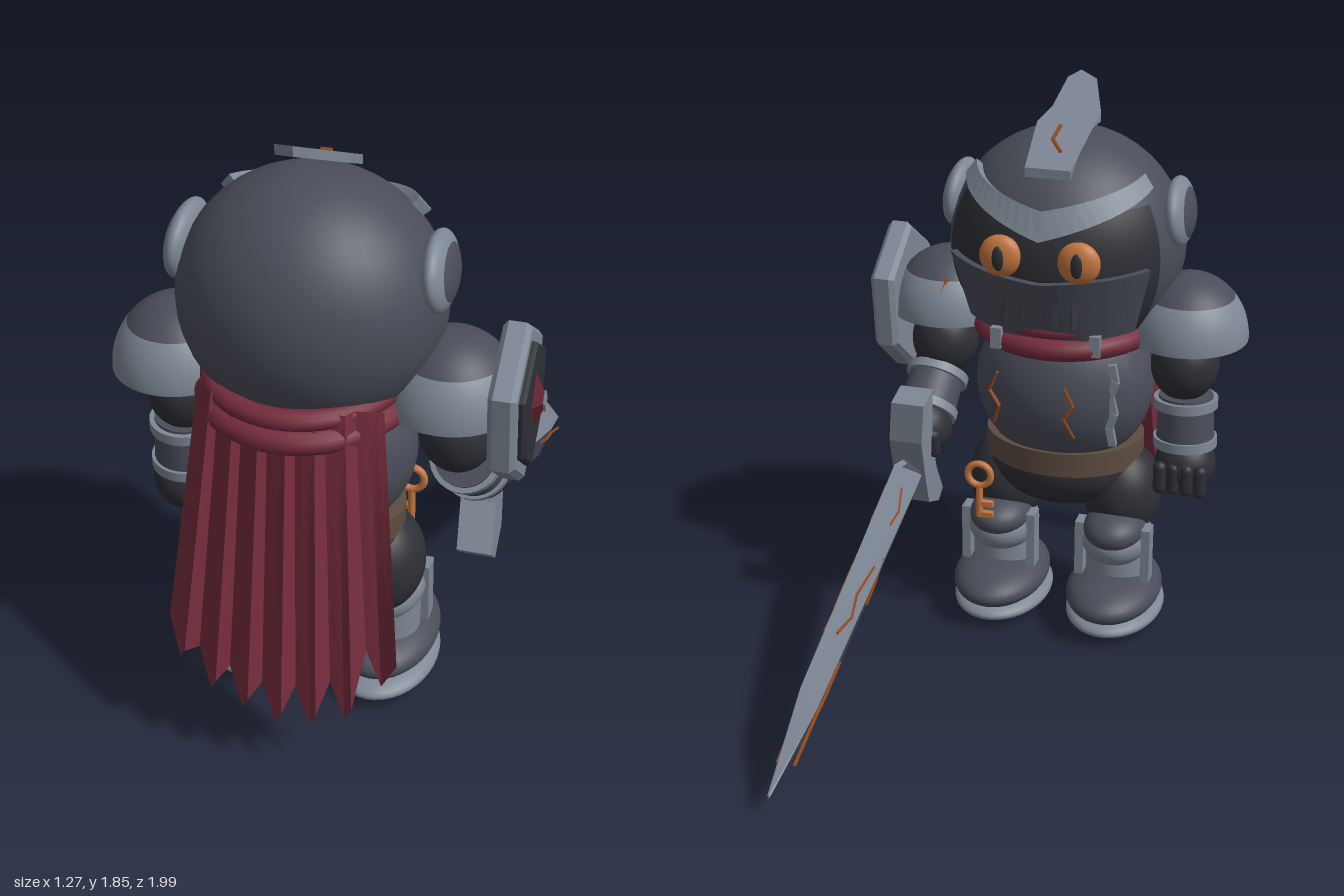
import * as THREE from 'three';

const mat = (name, color) => {
  const m = new THREE.MeshStandardMaterial({ color, side: THREE.DoubleSide });
  m.name = name;
  return m;
};
const V = (x, y, z) => new THREE.Vector3(x, y, z);

export function createModel() {
  const steel = mat('dark steel', 0x4a4d59), black = mat('black', 0x2e2f35), silver = mat('silver', 0x7d8794);
  const red = mat('cloth red', 0x752c3c), wine = mat('gem red', 0x64202f), orange = mat('eye orange', 0xc4763f);
  const rust = mat('crack orange', 0x9c4d1c), brown = mat('leather', 0x5d4c40);
  const root = new THREE.Group();

  const add = (name, geo, m, x = 0, y = 0, z = 0) => {
    const mesh = new THREE.Mesh(geo, m);
    mesh.name = name;
    mesh.position.set(x, y, z);
    root.add(mesh);
    return mesh;
  };
  const ball = (name, m, p, r, ...range) => {
    const geo = new THREE.SphereGeometry(1, 40, 24, ...range);
    geo.scale(...r);
    return add(name, geo, m, ...p);
  };
  const rod = (name, m, a, b, r0, r1 = r0, sides = 28) => {
    const d = b.clone().sub(a);
    const mesh = add(name, new THREE.CylinderGeometry(r1, r0, d.length(), sides), m);
    mesh.position.copy(a).addScaledVector(d, 0.5);
    mesh.quaternion.setFromUnitVectors(V(0, 1, 0), d.normalize());
    return mesh;
  };
  const capsule = (name, m, a, b, r) => {
    const d = b.clone().sub(a);
    const mesh = add(name, new THREE.CapsuleGeometry(r, d.length(), 6, 12), m);
    mesh.position.copy(a).addScaledVector(d, 0.5);
    mesh.quaternion.setFromUnitVectors(V(0, 1, 0), d.normalize());
  };
  // Flat-sided skin through rings of points
  const loft = (rings) => {
    const pos = [], n = rings[0].length;
    const tri = (...ps) => ps.forEach((p) => pos.push(p.x, p.y, p.z));
    for (let i = 0; i < rings.length - 1; i++) for (let j = 0; j < n; j++) {
      const k = (j + 1) % n, [a, b] = [rings[i], rings[i + 1]];
      tri(a[j], b[j], b[k]);
      tri(a[j], b[k], a[k]);
    }
    for (const r of [rings[0].slice().reverse(), rings.at(-1)])
      for (let j = 1; j < n - 1; j++) tri(r[0], r[j], r[j + 1]);
    const g = new THREE.BufferGeometry();
    g.setAttribute('position', new THREE.Float32BufferAttribute(pos, 3));
    g.computeVertexNormals();
    return g;
  };
  // Plate outlined in [z, y], thickened along +x from x0
  const sidePlate = (pts, x0, depth, bevel = 0) => {
    const g = new THREE.ExtrudeGeometry(new THREE.Shape(pts.map(([z, y]) => new THREE.Vector2(-z, y))),
      { depth, bevelEnabled: bevel > 0, bevelSize: bevel, bevelThickness: bevel, bevelOffset: -bevel, bevelSegments: 1 });
    return g.rotateY(Math.PI / 2).translate(x0, 0, 0);
  };
  const crack = (pts, w = 0.006) => {
    for (let i = 0; i < pts.length - 1; i++) rod('crack', rust, pts[i], pts[i + 1], w, w, 4);
  };

  // Head with dark face opening
  const H = V(-0.035, 1.34, 0.475), HR = [0.385, 0.375, 0.352], FRONT = Math.PI * 1.5;
  const onHead = (a, th, r) => V(H.x + HR[0] * r * Math.sin(a) * Math.sin(th), H.y + HR[1] * r * Math.cos(th),
    H.z - HR[2] * r * Math.cos(a) * Math.sin(th));
  const scaled = (k) => HR.map((v) => v * k);
  ball('helmet', steel, H.toArray(), HR);
  ball('faceOpening', black, H.toArray(), scaled(1.006), FRONT - 1.08, 2.16, 1.05, 1.2);
  const headBand = (name, m, half, lo, hi, r0, r1) => {
    const rings = [];
    for (let i = 0; i <= 24; i++) {
      const a = (i / 12 - 1) * half, t = Math.abs(i / 12 - 1);
      rings.push([onHead(a, lo(t), r0), onHead(a, lo(t), r1), onHead(a, hi(t), r1), onHead(a, hi(t), r0)]);
    }
    return add(name, loft(rings), m);
  };
  headBand('brow', silver, 1.15, (t) => 1.3 - 0.36 * t, (t) => 1.06 - 0.25 * t, 0.98, 1.07);
  headBand('visor', steel, 0.92, (t) => 2.25 - 0.1 * t, (t) => 1.64 - 0.08 * t, 0.95, 1.065);
  for (let i = 0; i < 5; i++) {
    const a = (i - 2) * 0.15;
    const slit = add('visorSlit', new THREE.BoxGeometry(0.02, 0.085, 0.008), black);
    slit.position.copy(onHead(a, 1.9, 1.068));
    slit.rotation.set(0.33, -a, 0, 'YXZ');
  }
  for (const x of [0.09, -0.16]) {
    ball('eye', orange, [x, 1.385, 0.135], [0.068, 0.068, 0.035]);
    ball('pupil', black, [x, 1.385, 0.108], [0.022, 0.04, 0.012]);
  }
  for (const s of [1, -1]) {
    const x = H.x + s * 0.363;
    ball('earPlate', silver, [x, 1.465, 0.48], [0.045, 0.11, 0.137]).rotation.z = s * 0.12;
    ball('earBoss', steel, [x + s * 0.012, 1.465, 0.48], [0.038, 0.092, 0.112]).rotation.z = s * 0.12;
  }
  // Slanted crest plate, outlined in [x, z]
  const slope = (z) => 1.625 + (z - 0.22) * 0.48;
  const crestPts = [[-0.11, 0.21], [0.035, 0.21], [0.05, 0.4], [0.02, 0.47], [0.005, 0.6], [-0.03, 0.635], [-0.09, 0.6], [-0.14, 0.46], [-0.105, 0.4]];
  add('crest', loft([0, 0.03].map((h) => crestPts.map(([x, z]) => V(x, slope(z) + h, z)))), silver);
  crack([[-0.06, 0.28], [-0.02, 0.33], [-0.03, 0.39]].map(([x, z]) => V(x, slope(z) + 0.032, z)));

  // Torso, chest plate, belt and hips
  ball('torso', steel, [-0.035, 0.85, 0.46], [0.3, 0.29, 0.25]);
  ball('hips', black, [-0.035, 0.57, 0.48], [0.27, 0.17, 0.22]);
  ball('chestPlate', steel, [-0.035, 0.87, 0.46], [0.31, 0.3, 0.265], FRONT - 0.95, 1.9, 0.85, 1.25);
  const belt = new THREE.CylinderGeometry(1, 1, 0.085, 48);
  belt.scale(0.27, 1, 0.218);
  add('belt', belt, brown, -0.035, 0.622, 0.475);
  crack([V(0.13, 0.95, 0.225), V(0.16, 0.88, 0.235), V(0.12, 0.84, 0.21), V(0.15, 0.76, 0.25)]);
  crack([V(-0.1, 0.93, 0.2), V(-0.13, 0.87, 0.2), V(-0.1, 0.82, 0.2), V(-0.13, 0.75, 0.22)]);
  for (let i = 0; i < 5; i++)
    add('chestTrim', new THREE.BoxGeometry(0.025, 0.06, 0.02), silver, -0.245, 0.97 - i * 0.055, 0.275 - i * 0.003).rotation.z = i % 2 ? 0.3 : -0.2;

  // Hanging key
  add('keyRing', new THREE.TorusGeometry(0.04, 0.012, 8, 24), orange, 0.19, 0.575, 0.21);
  rod('keyShaft', orange, V(0.19, 0.54, 0.21), V(0.19, 0.42, 0.21), 0.012);
  for (const y of [0.43, 0.47]) add('keyTooth', new THREE.BoxGeometry(0.045, 0.018, 0.02), orange, 0.165, y, 0.21);

  // Scarf rolls and knot
  [[1.13, 0.275, 0.03], [1.07, 0.285, 0.038]].forEach(([y, r, t]) => {
    const g = new THREE.TorusGeometry(r, t, 12, 56);
    g.rotateX(Math.PI / 2).scale(1, 1, 1.11);
    add('scarf', g, red, -0.04, y, 0.5);
  });
  for (const x of [-0.2, 0.12]) add('scarfClasp', new THREE.BoxGeometry(0.035, 0.07, 0.025), silver, x, 1.09, x < 0 ? 0.2 : 0.185);

  // Pleated cape with torn hem
  const cape = new THREE.PlaneGeometry(1, 1, 28, 8), cp = cape.attributes.position;
  const tips = [0.33, 0.26, 0.23, 0.2, 0.21, 0.24, 0.36];
  for (let i = 0; i < cp.count; i++) {
    const u = cp.getX(i) + 0.5, v = 0.5 - cp.getY(i), panel = Math.min(6, Math.floor(u * 7 + 1e-6));
    const f = u * 7 - panel, side = (u * 2 - 1) ** 2;
    const hem = tips[panel] + Math.abs(f - 0.5) * 0.2;
    const x = THREE.MathUtils.lerp(-0.3 + 0.54 * u, -0.365 + 0.7 * u, v);
    cp.setXYZ(i, x, 1.15 + (hem - 1.15) * v, 0.8 + 0.16 * v - side * (0.09 - 0.02 * v) + (f - 0.4) * (0.03 + 0.05 * v));
  }
  const capeFlat = cape.toNonIndexed();
  capeFlat.computeVertexNormals();
  add('cape', capeFlat, red);

  // Shoulder domes
  for (const [x, y, r] of [[-0.445, 1.05, 0.195], [0.365, 1.06, 0.2]]) {
    const s = [r, 0.215, 0.2];
    ball('shoulderCap', steel, [x, y, 0.47], s, 0, Math.PI * 2, 0, 0.84);
    ball('shoulderRim', silver, [x, y, 0.47], s, 0, Math.PI * 2, 0.84, Math.PI / 2 - 0.84);
    add('shoulderBase', new THREE.CircleGeometry(r, 40).rotateX(Math.PI / 2), silver, x, y, 0.47);
  }
  crack([V(0.33, 1.21, 0.33), V(0.35, 1.17, 0.305), V(0.34, 1.13, 0.29)]);

  // Arms: upper arm, banded forearm, fist with fingers
  const arm = (shoulder, elbow, wrist, fist, curl) => {
    ball('upperArm', black, shoulder.toArray(), [0.112, 0.125, 0.115]);
    rod('forearm', steel, elbow, wrist, 0.09, 0.097);
    for (const t of [0.05, 0.9]) {
      const p = elbow.clone().lerp(wrist, t), q = elbow.clone().lerp(wrist, t + 0.2);
      rod('forearmBand', silver, p, q, 0.106);
    }
    ball('fist', black, fist.toArray(), [0.102, 0.1, 0.1]);
    for (let i = 0; i < 4; i++) {
      const base = fist.clone().add(V((i - 1.5) * 0.045, 0.01, -0.085));
      capsule('finger', black, base, base.clone().add(curl), 0.022);
    }
  };
  arm(V(-0.44, 0.955, 0.46), V(-0.45, 0.85, 0.45), V(-0.455, 0.69, 0.44), V(-0.46, 0.61, 0.43), V(0, -0.07, 0));
  arm(V(0.385, 0.95, 0.46), V(0.4, 0.84, 0.43), V(0.41, 0.74, 0.32), V(0.41, 0.7, 0.27), V(0, -0.06, 0.01));

  // Shield: rim, panel, gem
  const C = [0.478, 1.08];
  const hex = (k) => [[0, 0.25], [0.19, 0.12], [0.165, -0.115], [0, -0.25], [-0.165, -0.115], [-0.19, 0.12]].map(([z, y]) => [C[0] + z * k, C[1] + y * k]);
  const gem = (w, h) => [[0, h], [w, 0], [0, -h], [-w, 0]].map(([z, y]) => [C[0] + z, 1.1 + y]);
  add('shieldRim', sidePlate(hex(1.04), 0.52, 0.05, 0.015), silver);
  add('shieldPanel', sidePlate(hex(0.82), 0.57, 0.025, 0.008), black);
  add('shieldGem', loft([gem(0.06, 0.105).map(([z, y]) => V(0.595, y, z)), gem(0.012, 0.02).map(([z, y]) => V(0.632, y, z))]), wine);
  add('shieldStud', sidePlate(gem(0.02, 0.035), 0.628, 0.006), silver);

  // Sword: grip, bent crossguard, diamond-section blade
  const guard = sidePlate([[0.13, 0.905], [0.045, 0.88], [0.055, 0.74], [0.14, 0.56], [0.2, 0.45], [0.31, 0.4], [0.345, 0.435], [0.25, 0.56], [0.175, 0.7]], 0.345, 0.11);
  const gp = guard.attributes.position;
  for (let i = 0; i < gp.count; i++) gp.setX(i, gp.getX(i) + (0.65 - gp.getY(i)) * 0.1);
  add('crossguard', guard, silver);
  rod('grip', brown, V(0.4, 0.74, 0.4), V(0.41, 0.62, 0.15), 0.03);
  const B = V(0.41, 0.6, 0.13), D = V(0.04, -0.52, -1.13).normalize(), W = V(0, -0.908, 0.418), X = V(1, 0, 0);
  const onBlade = (t, w, h) => B.clone().addScaledVector(D, t).addScaledVector(W, w).addScaledVector(X, h);
  add('blade', loft([[0, 0.06, 0.05], [0.08, 0.12, 0.05], [0.93, 0.1, 0.032], [1.245, 0.001, 0.002]]
    .map(([t, w, h]) => [onBlade(t, -w, 0), onBlade(t, 0, h), onBlade(t, w, 0), onBlade(t, 0, -h)])), steel);
  add('bladeBevel', loft([[0.02, 0.075, 0.05], [0.08, 0.12, 0.05], [0.93, 0.1, 0.032], [1.24, 0.002, 0.003]]
    .map(([t, w, h]) => [onBlade(t, -w - 0.003, 0), onBlade(t, -0.003, h + 0.002), onBlade(t, -0.003, -h - 0.002)])), silver);
  for (const s of [1, -1]) {
    const line = (pts) => crack(pts.map(([t, w]) => onBlade(t, w, s * (0.05 - 0.018 * t) * (1 - Math.abs(w) / 0.115) + s * 0.002)));
    line([[0.12, -0.06], [0.2, -0.03], [0.26, -0.04]]);
    line([[0.37, -0.01], [0.43, 0.03], [0.5, 0.07]]);
    line([[0.42, -0.03], [0.55, -0.05], [0.62, -0.03], [0.7, -0.06]]);
    line([[0.75, 0.02], [0.88, 0.03], [0.95, 0.015], [1.12, 0.02]]);
  }

  // Legs and boots
  for (const x of [-0.24, 0.163]) {
    ball('thigh', black, [x, 0.46, 0.47], [0.135, 0.17, 0.15]);
    ball('knee', silver, [x, 0.315, 0.405], [0.12, 0.095, 0.147]);
    ball('kneeCap', steel, [x, 0.365, 0.37], [0.105, 0.07, 0.13]);
    rod('shin', silver, V(x, 0.12, 0.42), V(x, 0.29, 0.42), 0.11);
    for (const s of [1, -1]) add('shinStrap', new THREE.BoxGeometry(0.03, 0.2, 0.06), silver, x + s * 0.115, 0.28, 0.36);
    ball('boot', steel, [x, 0.125, 0.385], [0.16, 0.078, 0.24]);
    ball('sole', silver, [x, 0.05, 0.405], [0.166, 0.05, 0.24]);
  }
  return root;
}
